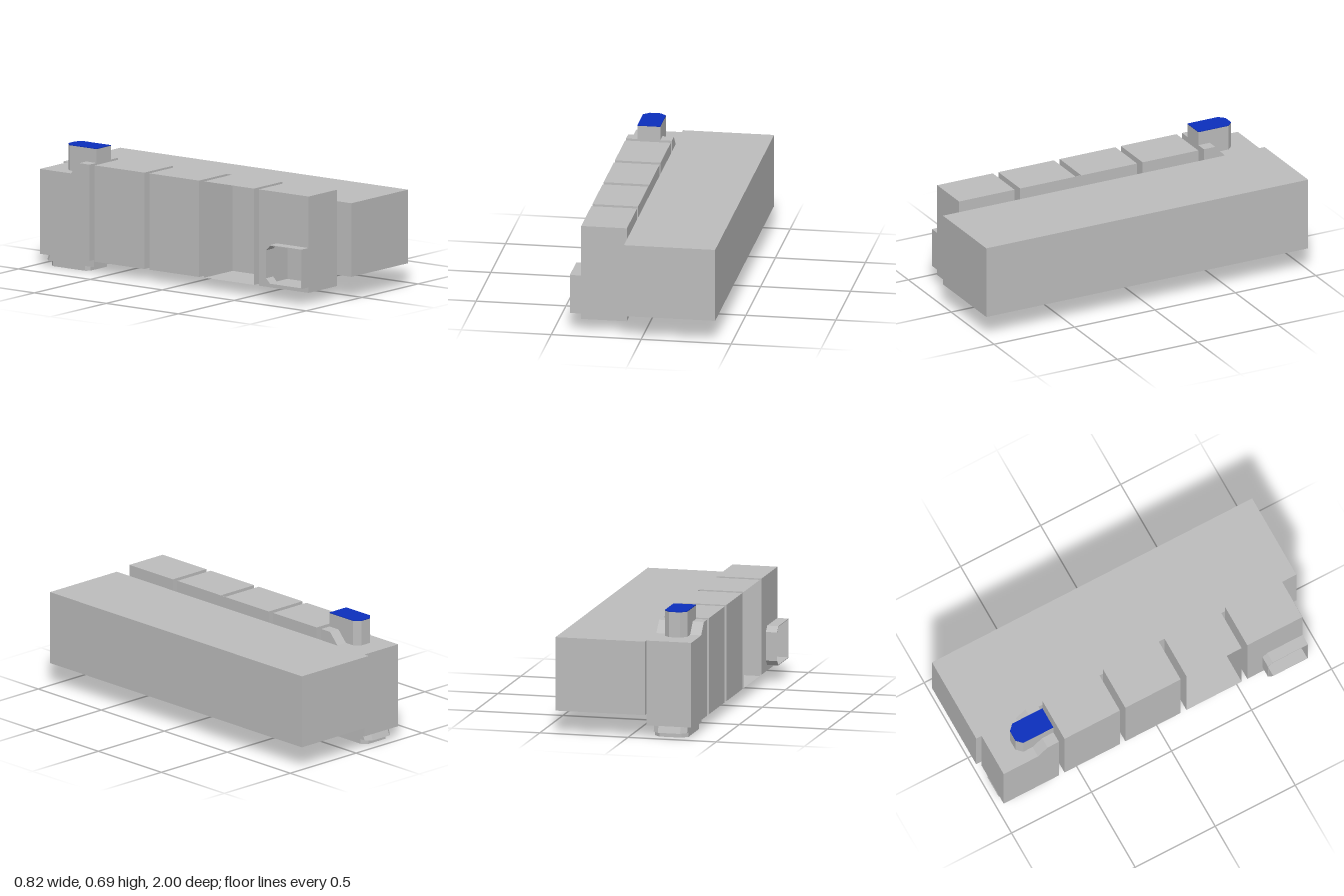
import * as THREE from 'three';

const grey = new THREE.MeshStandardMaterial({ color: 0xbcbcbc, side: THREE.DoubleSide });
grey.name = 'grey';
const blue = new THREE.MeshStandardMaterial({ color: 0x0c2fbc });
blue.name = 'blue';

function add(parent, name, geometry, material = grey) {
  const mesh = new THREE.Mesh(geometry, material);
  mesh.name = name;
  parent.add(mesh);
  return mesh;
}

// Box given by its limits on each axis
function box(x0, x1, y0, y1, z0, z1) {
  return new THREE.BoxGeometry(x1 - x0, y1 - y0, z1 - z0)
    .translate((x0 + x1) / 2, (y0 + y1) / 2, (z0 + z1) / 2);
}

// Box with its -x wall left out
function openBox(...limits) {
  const g = box(...limits);
  const index = Array.from(g.index.array);
  index.splice(6, 6);
  g.setIndex(index);
  g.clearGroups();
  return g;
}

function shapeOf(points, hole) {
  const toVec = ([a, b]) => new THREE.Vector2(a, b);
  const shape = new THREE.Shape(points.map(toVec));
  if (hole) shape.holes.push(new THREE.Path(hole.map(toVec)));
  return shape;
}

// Profile of [z, y] points carried along x
function prismX(points, x0, x1, hole) {
  const flip = (list) => list && list.map(([z, y]) => [-z, y]);
  return new THREE.ExtrudeGeometry(shapeOf(flip(points), flip(hole)), { depth: x1 - x0, bevelEnabled: false })
    .rotateY(Math.PI / 2).translate(x0, 0, 0);
}

// Plan of [x, z] points carried along y
function prismY(points, y0, y1, hole) {
  const flip = (list) => list && list.map(([x, z]) => [x, -z]);
  return new THREE.ExtrudeGeometry(shapeOf(flip(points), flip(hole)), { depth: y1 - y0, bevelEnabled: false })
    .rotateX(-Math.PI / 2).translate(0, y0, 0);
}

// Rectangle in plan with its back corners cut, and optionally its front ones
function cutPlan(x0, x1, zBack, zFront, c, cf = 0) {
  const front = cf ? [[x1, zFront - cf], [x1 - cf, zFront], [x0 + cf, zFront], [x0, zFront - cf]]
    : [[x1, zFront], [x0, zFront]];
  return [[x0, zBack + c], [x0 + c, zBack], [x1 - c, zBack], [x1, zBack + c], ...front];
}

// Side profile of the side pocket, inset by t
function pocketProfile(t) {
  return [[0.9 - t, 0.097 + t], [0.9 - t, 0.317 - t], [0.68 + t / 2, 0.317 - t],
    [0.65 + t, 0.287 - t / 2], [0.65 + t, 0.127 + t / 2], [0.68 + t / 2, 0.097 + t]];
}

export function createModel() {
  const model = new THREE.Group();
  model.name = 'model';
  const X0 = -0.35, X1 = -0.096, Y0 = 0.066, Y1 = 0.604;

  add(model, 'mainBody', box(X1, 0.411, 0.129, 0.54, -1, 1));

  // Row of side modules
  const modules = new THREE.Group();
  modules.name = 'sideModules';
  model.add(modules);
  add(modules, 'frontModule', openBox(X0, X1, Y0, Y1, 0.555, 0.9));
  add(modules, 'openModule', openBox(X0, X1, Y0, Y1, 0.175, 0.52));
  for (const z of [-0.207, -0.587]) {
    add(modules, 'closedModule', box(X0, X1, Y0, Y1, z, z + 0.346));
  }
  add(modules, 'gapPlate', box(X1 - 0.003, X1, Y0, Y1, 0.139, 0.175));

  // Last module steps down towards the back
  add(modules, 'backModule', prismX([[-0.622, Y0], [-0.622, Y1], [-0.693, Y1],
    [-0.752, 0.54], [-0.967, 0.54], [-0.967, Y0]], X0, X1));

  // Front module's outer wall, cut open for the pocket
  add(modules, 'frontModuleWall', prismX([[0.555, Y0], [0.9, Y0], [0.9, Y1], [0.555, Y1]],
    X0, X0 + 0.003, pocketProfile(0.002)));
  add(model, 'sidePocket', prismX(pocketProfile(0), -0.413, X0, pocketProfile(0.004)));

  // Raised block with a coloured top
  const blockPlan = cutPlan(-0.287, -0.16, -0.842, -0.622, 0.032);
  add(model, 'topBlock', prismY(blockPlan, 0.535, 0.681));
  add(model, 'topBlockCap', prismY(blockPlan, 0.681, 0.685), blue);

  // Collar under the last module, its back leaning outwards
  const collar = prismY(cutPlan(-0.318, -0.128, -0.965, -0.617, 0.032), 0.027, Y0);
  const pos = collar.attributes.position;
  for (let i = 0; i < pos.count; i++) {
    if (pos.getZ(i) < -0.9 && pos.getY(i) > 0.05) pos.setZ(i, pos.getZ(i) + 0.015);
  }
  collar.computeVertexNormals();
  add(model, 'bottomCollar', collar);

  // Rim below the collar around a recess
  add(model, 'bottomRim', prismY(cutPlan(-0.318, -0.128, -0.933, -0.657, 0.032, 0.02), 0, 0.03,
    [[-0.285, -0.895], [-0.161, -0.895], [-0.161, -0.69], [-0.285, -0.69]]));

  return model;
}
